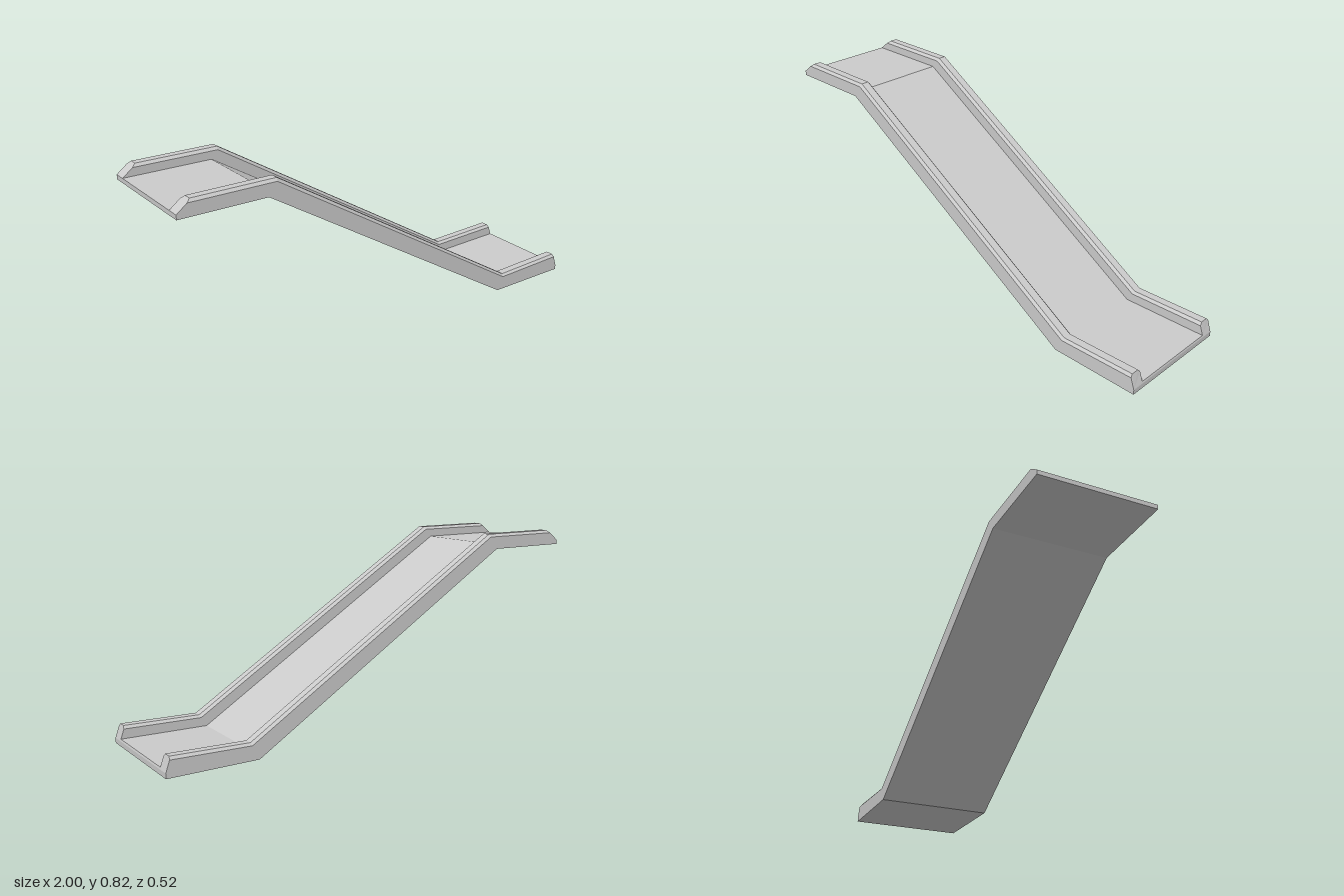
import * as THREE from 'three';

// Side-view levels [x, y] at the four stations: upper end, upper bend, lower bend, lower end
const bottom = [[-1, 0.755], [-0.622, 0.755], [0.605, 0], [1, 0]];
const ledge = [[-1, 0.775], [-0.615, 0.775], [0.612, 0.022], [1, 0.022]];
const floor = [[-1, 0.775], [-0.615, 0.775], [0.612, 0.022], [0.9975, 0.03]];
const shoulder = [[-0.955, 0.81], [-0.584, 0.81], [0.636, 0.062], [0.983, 0.071]];
const crest = [[-0.94, 0.822], [-0.58, 0.822], [0.64, 0.073], [0.98, 0.083]];

const OUTER = 0.26, INNER = 0.204, TOP_OUT = 0.25, TOP_IN = 0.215;

// Sweep a ring of [level, z] corners along the stations, capping both ends.
// Edges listed in skip stay open where two parts join.
function sweep(name, ring, skip) {
  const pos = [];
  const n = ring.length;
  const point = (s, j) => {
    const [level, z] = ring[j % n];
    return [level[s][0], level[s][1], z];
  };
  const tri = (a, b, c) => pos.push(...a, ...b, ...c);
  for (let s = 0; s < 3; s++) {
    for (let j = 0; j < n; j++) {
      if (skip.includes(j)) continue;
      const a = point(s, j), b = point(s + 1, j);
      const c = point(s + 1, j + 1), d = point(s, j + 1);
      tri(a, b, c);
      tri(a, c, d);
    }
  }
  for (let j = 1; j < n - 1; j++) {
    tri(point(0, 0), point(0, j), point(0, j + 1));
    tri(point(3, 0), point(3, j + 1), point(3, j));
  }
  const geometry = new THREE.BufferGeometry();
  geometry.setAttribute('position', new THREE.Float32BufferAttribute(pos, 3));
  geometry.computeVertexNormals();
  const mesh = new THREE.Mesh(geometry, new THREE.MeshStandardMaterial({ color: 0xcccccc, flatShading: true }));
  mesh.name = name;
  return mesh;
}

export function createModel() {
  const group = new THREE.Group();
  group.name = 'slide';

  // Sliding bed, open under the rails
  group.add(sweep('bed', [
    [ledge, OUTER], [floor, INNER], [floor, -INNER],
    [ledge, -OUTER], [bottom, -OUTER], [bottom, OUTER],
  ], [0, 2]));

  // Bevelled side rails
  const rail = [
    [ledge, OUTER], [shoulder, OUTER], [crest, TOP_OUT],
    [crest, TOP_IN], [shoulder, INNER], [floor, INNER],
  ];
  const mirrored = rail.map(([level, z]) => [level, -z]).reverse();
  group.add(sweep('frontRail', rail, [5]));
  group.add(sweep('backRail', mirrored, [5]));

  return group;
}
